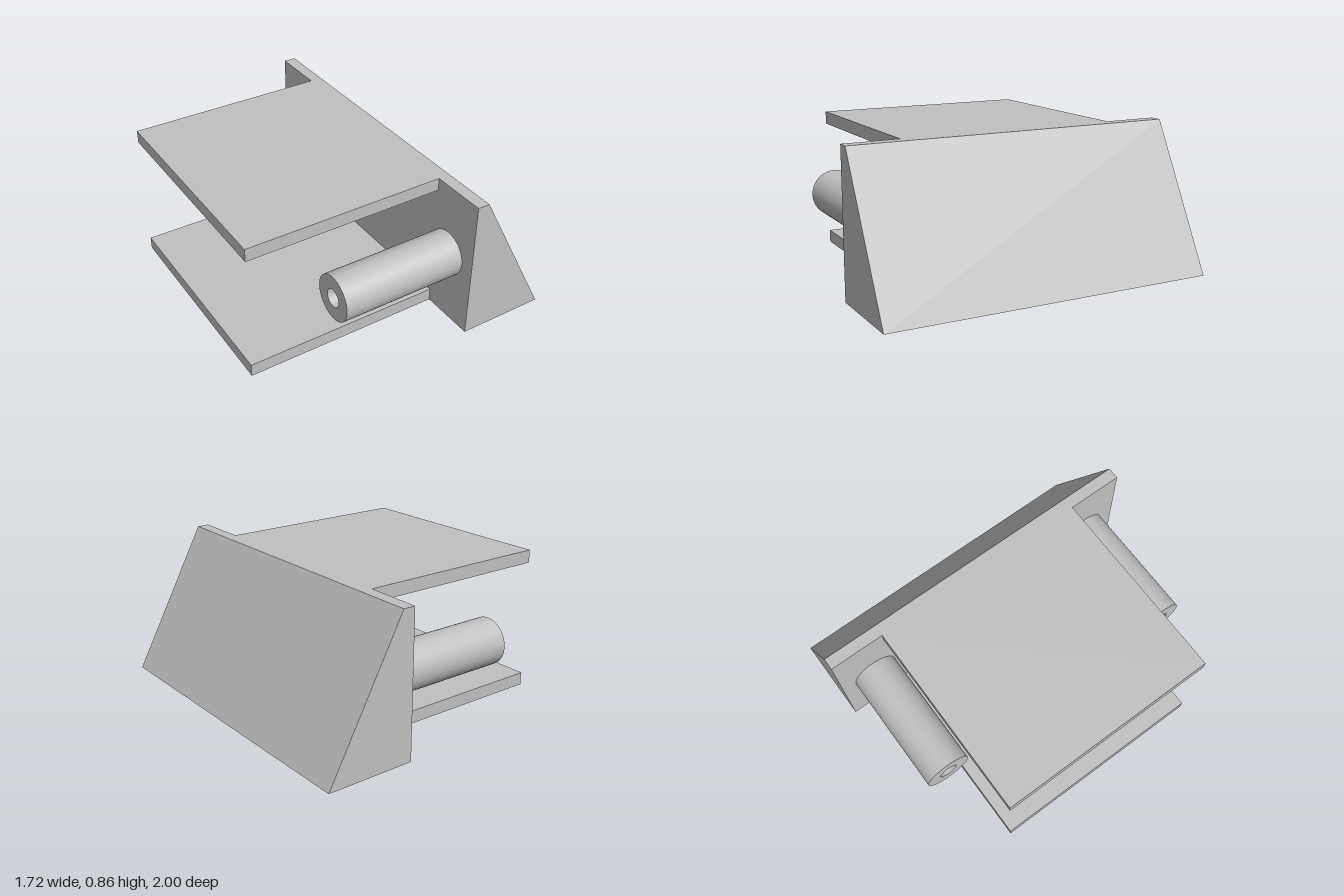
import * as THREE from 'three';
import { toCreasedNormals } from 'three/addons/utils/BufferGeometryUtils.js';

export function createModel() {
  const group = new THREE.Group();
  const grey = new THREE.MeshStandardMaterial({ color: 0xc0c0c0 });
  grey.name = 'light grey';

  const add = (name, geometry) => {
    const mesh = new THREE.Mesh(geometry, grey);
    mesh.name = name;
    group.add(mesh);
    return mesh;
  };

  const height = 0.857, wallX = 0.33, endX = -0.862;

  // Wedge block: sloped profile extruded along the full depth
  const profile = new THREE.Shape([
    new THREE.Vector2(wallX, 0),
    new THREE.Vector2(0.862, 0),
    new THREE.Vector2(0.402, height),
    new THREE.Vector2(wallX, height),
  ]);
  add('wedgeBlock', new THREE.ExtrudeGeometry(profile, { depth: 2, bevelEnabled: false }))
    .position.z = -1;

  // Two parallel plates, flush with the top and bottom of the wedge
  const thick = 0.077;
  for (const [name, y] of [['bottomPlate', thick / 2], ['topPlate', height - thick / 2]]) {
    add(name, new THREE.BoxGeometry(wallX - endX, thick, 1.333))
      .position.set((wallX + endX) / 2, y, 0);
  }

  // Hollow pegs on either side, reaching out from the wall
  const length = 0.75, outer = 0.137, bore = 0.055;
  const section = [[outer, 0], [outer, length], [bore, length], [bore, 0]]
    .map(([r, y]) => new THREE.Vector2(r, y));
  const pegGeometry = toCreasedNormals(new THREE.LatheGeometry(section, 48), 0.6);
  for (const [name, z] of [['frontPeg', 0.78], ['backPeg', -0.78]]) {
    const peg = add(name, pegGeometry);
    peg.rotation.z = Math.PI / 2;
    peg.position.set(wallX, 0.43, z);
  }

  return group;
}
